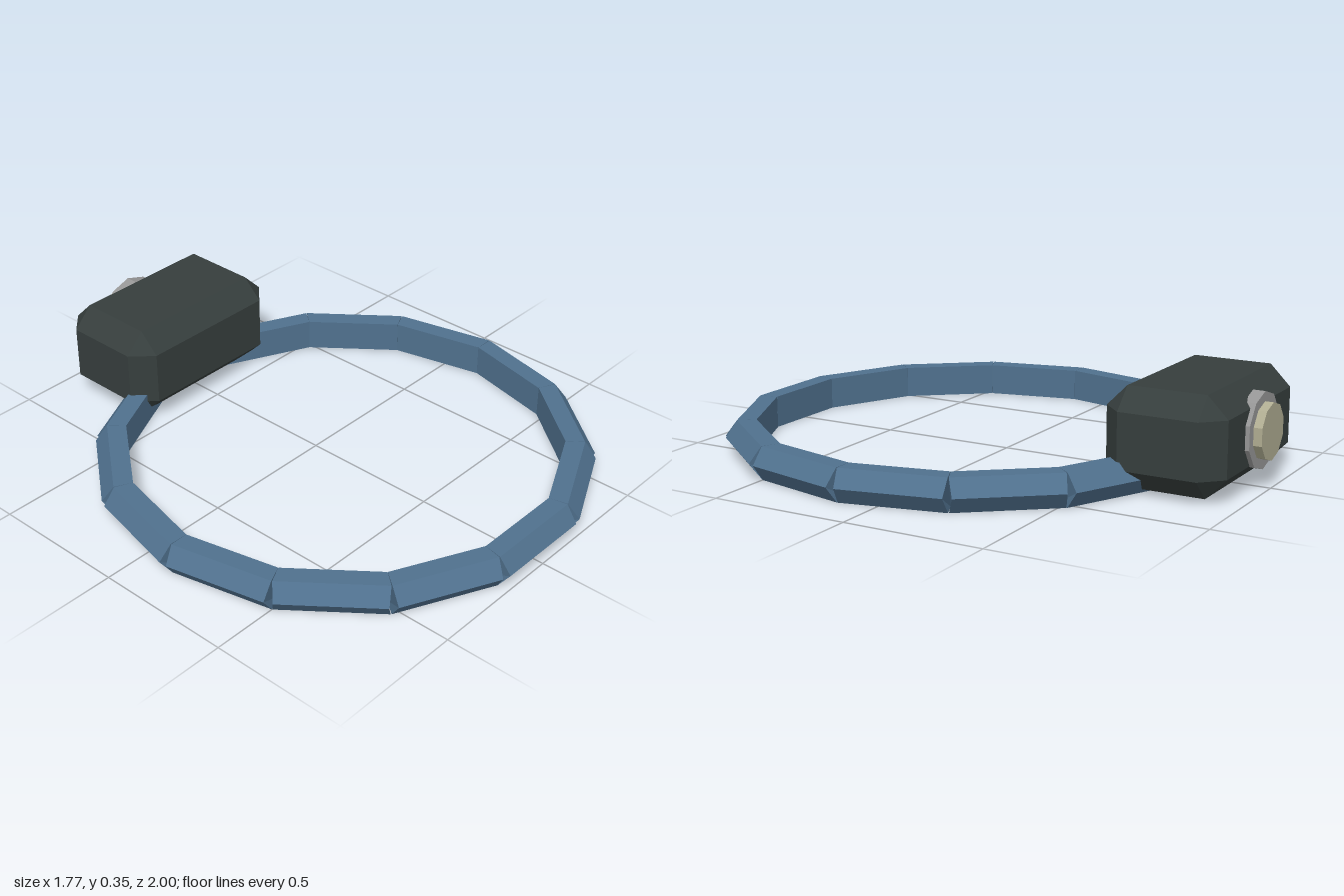
import * as THREE from 'three';
import { ConvexGeometry } from 'three/addons/geometries/ConvexGeometry.js';

const material = (name, color) => {
  const m = new THREE.MeshStandardMaterial({ color, flatShading: true });
  m.name = name;
  return m;
};

// One collar link: extruded wedge section whose ends are mitred by radius
function linkGeometry() {
  const section = new THREE.Shape([
    [0.755, 0], [0.822, 0], [0.865, 0.058], [0.822, 0.116], [0.755, 0.116],
  ].map(([r, y]) => new THREE.Vector2(r, y)));
  const geo = new THREE.ExtrudeGeometry(section, { depth: 1, bevelEnabled: false });
  geo.rotateY(-Math.PI / 2).translate(0.5, 0, 0);
  const p = geo.attributes.position;
  for (let i = 0; i < p.count; i++) {
    const r = p.getZ(i);
    const half = r < 0.79 ? 0.172 : r < 0.85 ? 0.186 : 0.182;
    p.setX(i, Math.sign(p.getX(i)) * half);
  }
  geo.computeVertexNormals();
  return geo;
}

// Box with every edge and corner cut flat
function chamferedBox(w, h, d, c) {
  const points = [];
  for (const x of [-w / 2, w / 2]) for (const y of [-h / 2, h / 2]) for (const z of [-d / 2, d / 2]) {
    const ix = x - Math.sign(x) * c, iy = y - Math.sign(y) * c, iz = z - Math.sign(z) * c;
    points.push(new THREE.Vector3(x, iy, iz), new THREE.Vector3(ix, y, iz), new THREE.Vector3(ix, iy, z));
  }
  return new ConvexGeometry(points);
}

export function createModel() {
  const blue = material('blueBand', 0x50718e);
  const dark = material('darkCasing', 0x363e3d);
  const grey = material('greyMetal', 0x969696);
  const cream = material('creamLens', 0xb0ad92);

  const model = new THREE.Group();
  model.name = 'collar';
  const add = (name, geo, mat, parent = model) => {
    const mesh = new THREE.Mesh(geo, mat);
    mesh.name = name;
    parent.add(mesh);
    return mesh;
  };

  // Ring of fourteen links
  const band = new THREE.Group();
  band.name = 'band';
  band.position.z = 0.135;
  model.add(band);
  const link = linkGeometry();
  for (let i = 0; i < 14; i++) add('bandLink', link, blue, band).rotation.y = (i / 14) * Math.PI * 2;

  // Casing at the back
  add('casing', chamferedBox(0.68, 0.34, 0.425, 0.073), dark).position.set(0, 0.185, -0.7425);

  // Round fitting on the casing, ten-sided with a corner pointing up
  const disc = (name, radius, from, to, mat) => {
    const geo = new THREE.CylinderGeometry(radius, radius, from - to, 10).rotateX(-Math.PI / 2);
    add(name, geo, mat).position.set(0, 0.192, (from + to) / 2);
  };
  disc('lensRim', 0.132, -0.927, -0.97, grey);
  disc('lens', 0.098, -0.94, -1, cream);

  return model;
}
